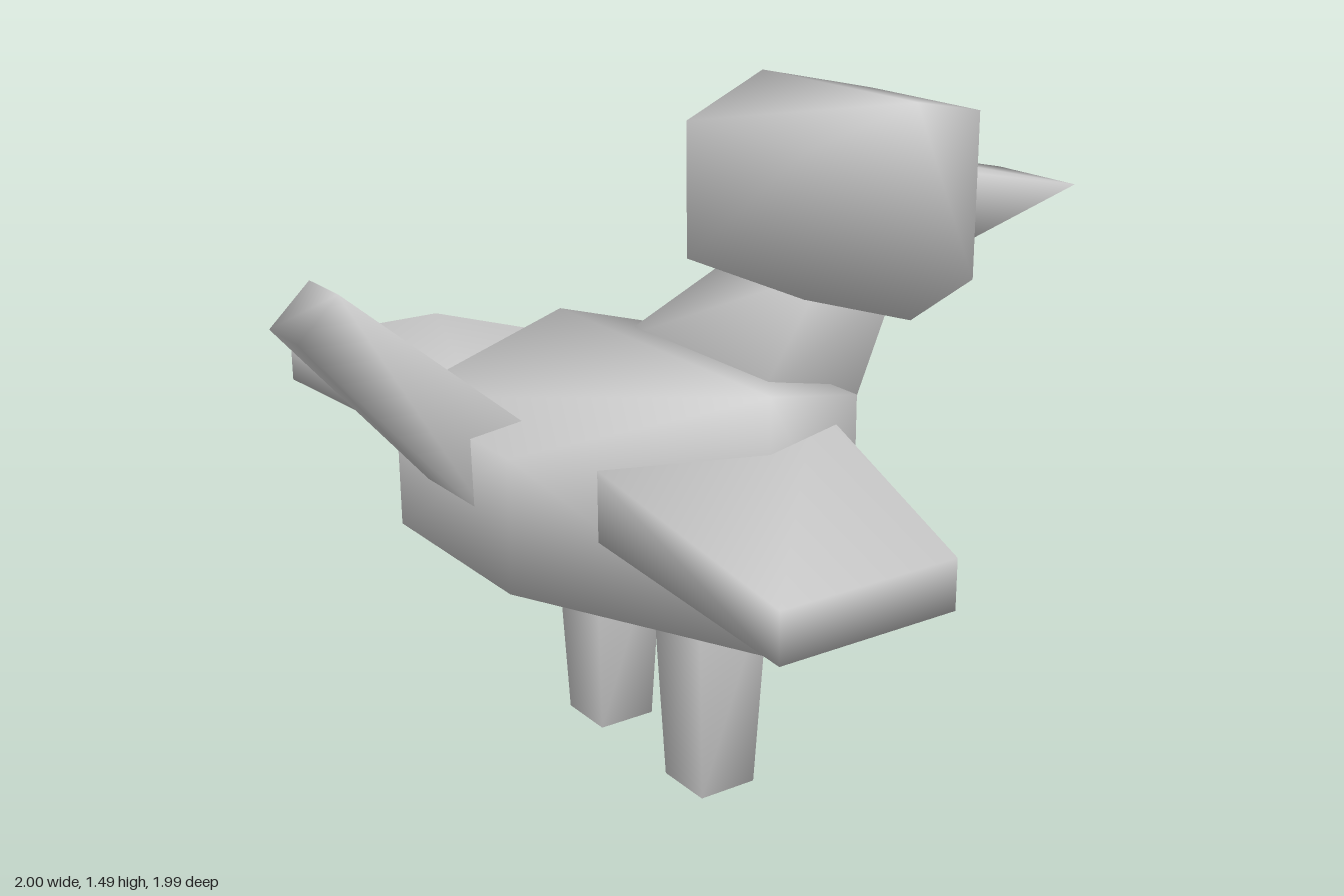
import * as THREE from 'three';
import { mergeVertices } from 'three/addons/utils/BufferGeometryUtils.js';

const material = new THREE.MeshStandardMaterial({ color: 0xcccccc });

// Cross-section symmetric about x = cx, from a lower [y, z] edge to an upper one
function ring(halfWidth, [y0, z0], [y1, z1], cx = 0) {
  const l = cx - halfWidth, r = cx + halfWidth;
  return [[l, y0, z0], [r, y0, z0], [r, y1, z1], [l, y1, z1]];
}

// Upright section across a wing at a given x
function wingRing(x, y0, y1, z0, z1) {
  return [[x, y0, z0], [x, y1, z0], [x, y1, z1], [x, y0, z1]];
}

// Smooth-shaded closed skin through four-cornered sections
function loft(name, rings) {
  const index = [];
  for (let i = 0; i < rings.length - 1; i++) {
    for (let j = 0; j < 4; j++) {
      const a = i * 4 + j, b = i * 4 + (j + 1) % 4;
      index.push(a, b, b + 4, a, b + 4, a + 4);
    }
  }
  const e = (rings.length - 1) * 4;
  index.push(0, 3, 2, 0, 2, 1, e, e + 1, e + 2, e, e + 2, e + 3);
  let geometry = new THREE.BufferGeometry();
  geometry.setAttribute('position', new THREE.Float32BufferAttribute(rings.flat(2), 3));
  geometry.setIndex(index);
  geometry = mergeVertices(geometry);
  geometry.computeVertexNormals();
  const mesh = new THREE.Mesh(geometry, material);
  mesh.name = name;
  return mesh;
}

export function createModel() {
  const bird = new THREE.Group();
  bird.name = 'bird';

  // Body, widest and deepest around the legs
  bird.add(loft('body', [
    ring(0.32, [0.46, -0.17], [0.88, -0.17]),
    ring(0.41, [0.375, 0.13], [0.955, 0.13]),
    ring(0.235, [0.59, 0.65], [0.88, 0.65]),
  ]));

  // Head
  bird.add(loft('head', [
    ring(0.19, [1.04, -0.615], [1.43, -0.615]),
    ring(0.275, [1.005, -0.355], [1.485, -0.355]),
    ring(0.22, [1.08, -0.1], [1.4, -0.1]),
  ]));

  // Beak, a flat wedge
  bird.add(loft('beak', [
    ring(0.13, [1.205, -0.99], [1.205, -0.99]),
    ring(0.168, [1.122, -0.6], [1.288, -0.6]),
  ]));

  // Neck, tapering up into the head
  bird.add(loft('neck', [
    ring(0.145, [1.04, -0.418], [1.11, -0.22]),
    ring(0.275, [0.68, -0.13], [0.9, 0.06]),
  ]));

  // Raised tail
  bird.add(loft('tail', [
    ring(0.103, [0.69, 0.61], [0.86, 0.49]),
    ring(0.065, [1.13, 0.995], [1.215, 0.905]),
  ]));

  for (const [side, s] of [['left', 1], ['right', -1]]) {
    // Swept wings, rooted inside the body
    const wing = [
      wingRing(s * 0.2, 0.677, 0.838, -0.15, 0.465),
      wingRing(s, 0.705, 0.81, 0.15, 0.555),
    ];
    bird.add(loft(side + 'Wing', s > 0 ? wing : wing.reverse()));

    // Legs, running from the belly down to the ground
    bird.add(loft(side + 'Leg', [
      ring(0.092, [0.5, 0.042], [0.5, 0.228], s * 0.205),
      ring(0.071, [0, 0.067], [0, 0.208], s * 0.205),
    ]));
  }
  return bird;
}
